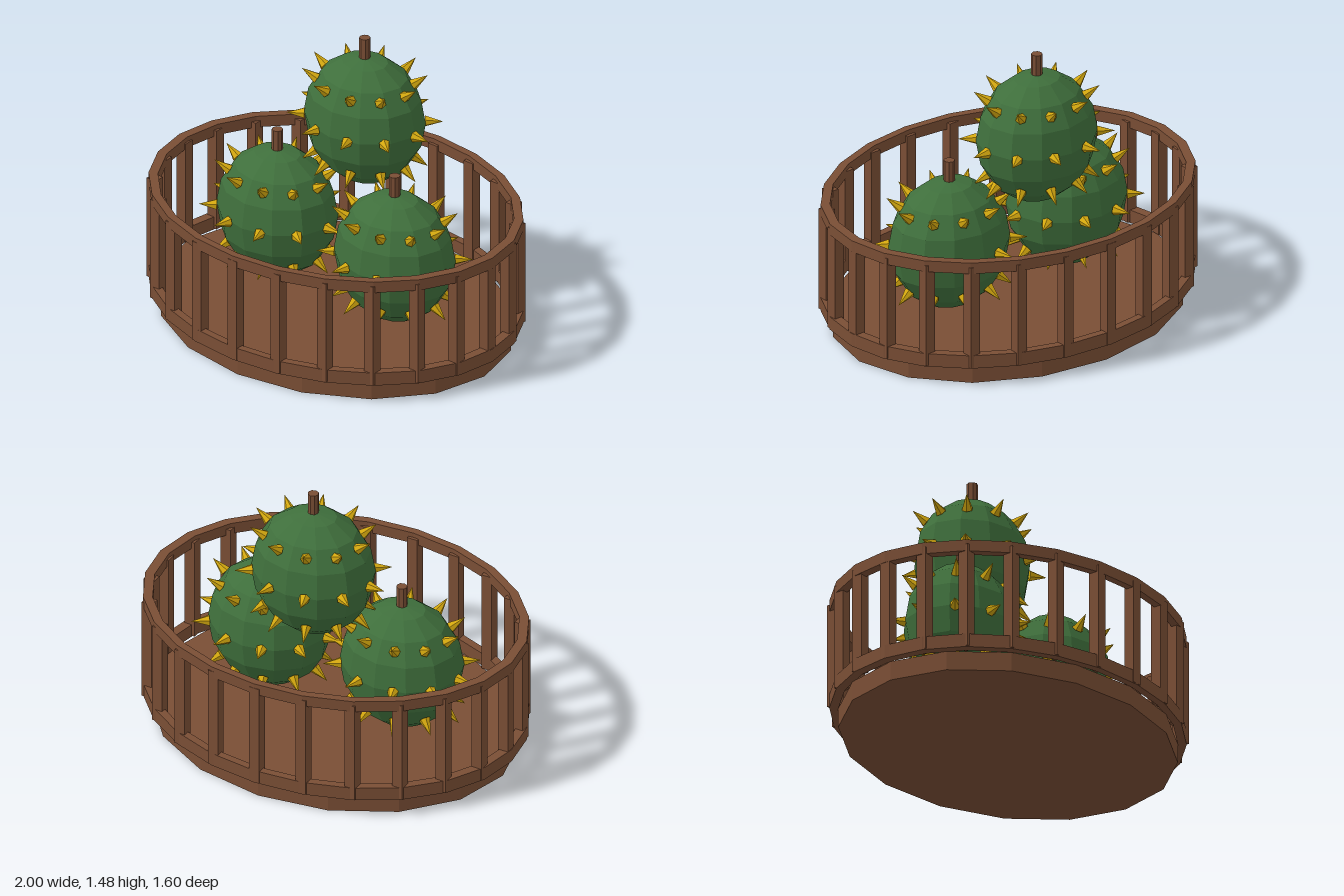
import * as THREE from 'three';

const wood = new THREE.MeshStandardMaterial({ color: 0x7a4e35, flatShading: true });
wood.name = 'brown wood';
const skin = new THREE.MeshStandardMaterial({ color: 0x3f6f3c, flatShading: true });
skin.name = 'cactus green';
const thorn = new THREE.MeshStandardMaterial({ color: 0xd4a80f, flatShading: true });
thorn.name = 'spike gold';

function part(name, geometry, material, parent, x = 0, y = 0, z = 0) {
  const mesh = new THREE.Mesh(geometry, material);
  mesh.name = name;
  mesh.position.set(x, y, z);
  parent.add(mesh);
  return mesh;
}

// Flat oval hoop with a rectangular section
function hoop(name, y0, y1, parent) {
  const section = [[0.95, y0], [1, y0], [1, y1], [0.95, y1], [0.95, y0]]
    .map(([r, y]) => new THREE.Vector2(r, y));
  const geometry = new THREE.LatheGeometry(section, 24);
  geometry.scale(1, 1, 0.8);
  part(name, geometry, wood, parent);
}

function createBasket() {
  const basket = new THREE.Group();
  basket.name = 'basket';
  const floor = new THREE.CylinderGeometry(0.95, 0.95, 0.1, 16);
  floor.scale(1, 1, 0.8);
  part('basketFloor', floor, wood, basket, 0, 0.05, 0);
  hoop('lowerHoop', 0.1, 0.17, basket);
  hoop('upperHoop', 0.62, 0.68, basket);

  // Upright slats, all square to the axes
  const slat = new THREE.BoxGeometry(0.057, 0.55, 0.057);
  for (let i = 0; i < 24; i++) {
    const a = (i / 24) * Math.PI * 2;
    part('slat', slat, wood, basket, 0.967 * Math.cos(a), 0.38, 0.772 * Math.sin(a));
  }
  return basket;
}

const radii = new THREE.Vector3(0.32, 0.34, 0.272);
const bodyGeometry = new THREE.SphereGeometry(1, 12, 8).scale(radii.x, radii.y, radii.z);
const stemGeometry = new THREE.CylinderGeometry(0.028, 0.028, 0.11, 8);
const spikeGeometry = new THREE.ConeGeometry(0.029, 0.09, 6).translate(0, 0.04, 0);

function createFruit(name, x, y, z) {
  const fruit = new THREE.Group();
  fruit.name = name;
  fruit.position.set(x, y, z);
  part('body', bodyGeometry, skin, fruit);
  part('stem', stemGeometry, wood, fruit, 0, 0.39, 0);

  // Three rows of ten spikes pointing outwards
  const up = new THREE.Vector3(0, 1, 0);
  for (const latitude of [-0.64, 0, 0.64]) {
    for (let i = 0; i < 10; i++) {
      const a = (i / 10) * Math.PI * 2;
      const dir = new THREE.Vector3(
        Math.cos(latitude) * Math.cos(a), Math.sin(latitude), Math.cos(latitude) * Math.sin(a));
      const spike = part('spike', spikeGeometry, thorn, fruit);
      spike.position.copy(dir).multiply(radii);
      spike.quaternion.setFromUnitVectors(up, dir);
    }
  }
  return fruit;
}

export function createModel() {
  const model = new THREE.Group();
  model.name = 'basketOfSpikyFruit';
  model.add(
    createBasket(),
    createFruit('leftFruit', 0.375, 0.48, 0),
    createFruit('rightFruit', -0.375, 0.48, 0),
    createFruit('topFruit', 0, 1.03, -0.222));
  return model;
}
